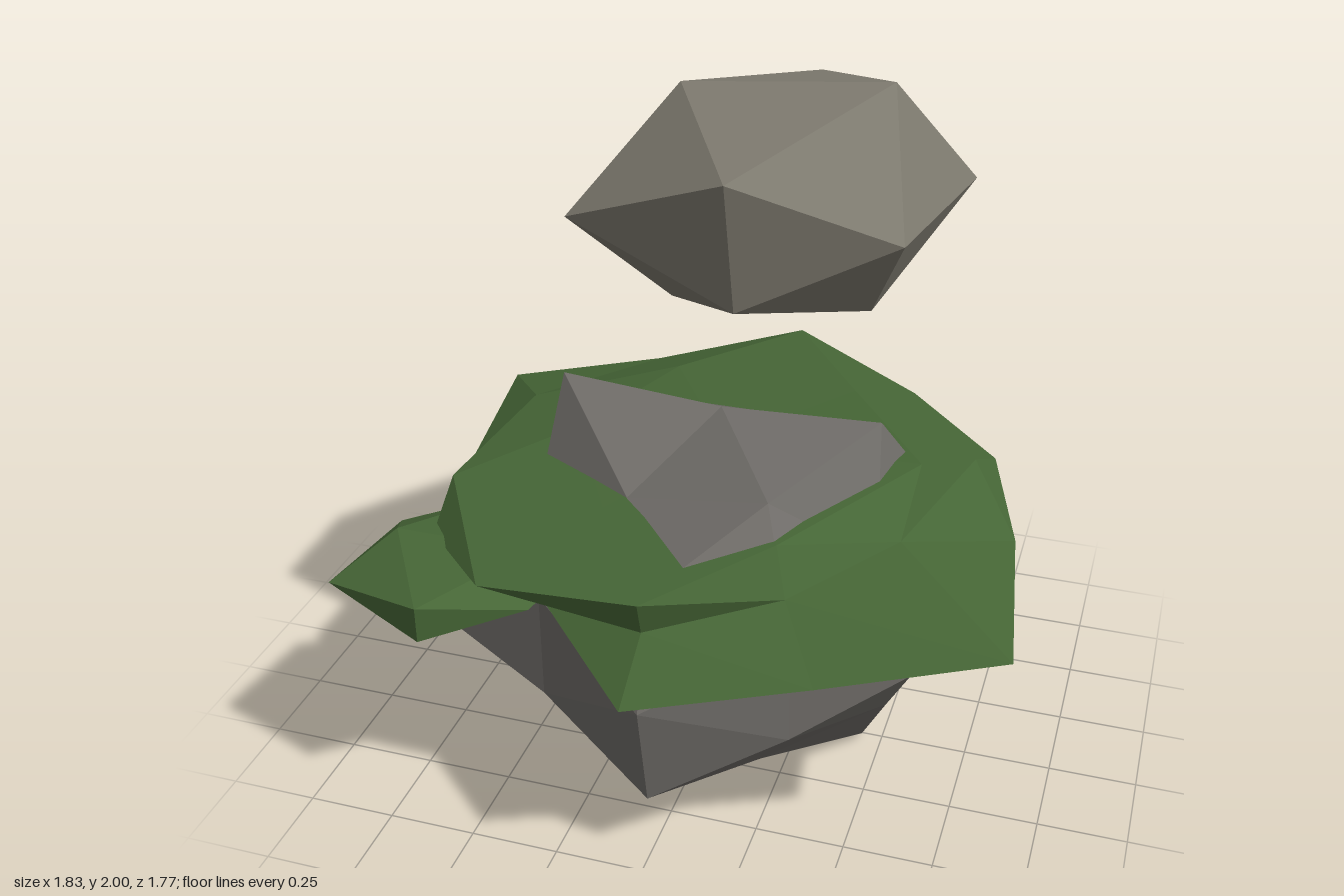
import * as THREE from 'three';

const stone = new THREE.MeshStandardMaterial({ color: 0x716e6a, flatShading: true });
const paleStone = new THREE.MeshStandardMaterial({ color: 0x807c71, flatShading: true });
const moss = new THREE.MeshStandardMaterial({ color: 0x466636, flatShading: true });

// Components of an icosahedron corner direction
const A = 0.526, B = 0.851;

// Lumpy low-poly stone: each icosahedron point is pushed in or out along its direction.
// dents lists [x, y, z, factor]; other corners keep 1, other edge midpoints use 0.8.
function lump(name, material, detail, centre, size, dents) {
  const geometry = new THREE.IcosahedronGeometry(1, detail);
  const pos = geometry.attributes.position;
  const p = new THREE.Vector3(), d = new THREE.Vector3();
  const scale = new THREE.Vector3(...size);
  for (let i = 0; i < pos.count; i++) {
    p.fromBufferAttribute(pos, i).normalize();
    const [low, , high] = [p.x, p.y, p.z].map(Math.abs).sort((a, b) => a - b);
    const corner = low < 0.01 && Math.abs(high - B) < 0.01;
    const dent = dents.find(([x, y, z]) => d.set(x, y, z).normalize().dot(p) > 0.99);
    const factor = dent ? dent[3] : corner ? 1 : 0.8;
    p.multiply(scale).multiplyScalar(factor);
    pos.setXYZ(i, p.x, p.y, p.z);
  }
  geometry.computeVertexNormals();
  const mesh = new THREE.Mesh(geometry, material);
  mesh.name = name;
  mesh.position.set(...centre);
  return mesh;
}

export function createModel() {
  const model = new THREE.Group();
  model.name = 'mossyRocks';

  // Large base stone
  model.add(lump('boulder', stone, 1, [0.005, 0.54, 0.03], [0.87, 0.64, 0.82], [
    [B, 0, A, 0.86], [0, -A, -B, 0.86], [0, A, B, 0.88], [0, A, -B, 0.85],
    [0, -A, B, 0.97], [A, -B, 0, 0.96], [A, B, 0, 0.99], [-A, B, 0, 1.02],
    [0, 0, 1, 0.9], [0, 0, -1, 0.95], [0, -1, 0, 0.74], [0, 1, 0, 0.81], [1, 0, 0, 0.75],
    [0.309, 0.809, 0.5, 0.88], [0.309, 0.809, -0.5, 0.7],
    [-0.309, 0.809, 0.5, 0.68], [-0.309, 0.809, -0.5, 0.7],
    [0.809, 0.5, 0.309, 0.7], [-0.809, 0.5, 0.309, 0.7], [-0.809, 0.5, -0.309, 0.74],
    [0.809, -0.5, 0.309, 0.77], [0.809, -0.5, -0.309, 0.86],
    [0.309, -0.809, -0.5, 0.74], [-0.309, -0.809, -0.5, 0.74],
  ]));

  // Flattened moss sheet draped around the boulder
  model.add(lump('mossSheet', moss, 1, [0, 0.755, 0], [1.05, 0.225, 1.04], [
    [B, 0, A, 1.03], [-B, 0, -A, 0.965], [B, 0, -A, 0.8], [-B, 0, A, 0.79],
    [0, A, B, 0.83], [0, -A, -B, 0.75], [A, B, 0, 1.03], [-A, B, 0, 0.8],
    [A, -B, 0, 0.6], [-A, -B, 0, 0.7],
    [-1, 0, 0, 0.74], [0, 0, 1, 0.68], [0, 0, -1, 0.65],
    [0.5, 0.309, 0.809, 0.62], [-0.5, 0.309, 0.809, 0.85],
    [0.5, -0.309, 0.809, 0.87], [-0.5, -0.309, 0.809, 0.66],
    [-0.5, -0.309, -0.809, 0.86],
    [0.809, 0.5, 0.309, 0.66], [-0.809, 0.5, 0.309, 0.84],
    [0.809, -0.5, 0.309, 0.62], [0.809, -0.5, -0.309, 0.62],
    [0.309, 0.809, 0.5, 0.87], [-0.309, 0.809, 0.5, 0.7],
    [0.309, 0.809, -0.5, 0.86], [-0.309, 0.809, -0.5, 0.86],
    [0.309, -0.809, 0.5, 0.65], [-0.309, -0.809, 0.5, 0.6],
  ]));

  // Small moss clump at the front corner
  model.add(lump('mossClump', moss, 0, [-0.6, 0.695, 0.47], [0.37, 0.098, 0.355], [
    [-B, 0, -A, 0.85], [B, 0, A, 0.8],
  ]));

  // Separate stone floating above
  model.add(lump('upperStone', paleStone, 0, [0.13, 1.66, -0.055], [0.565, 0.385, 0.56], [
    [A, B, 0, 1.03], [-A, B, 0, 0.88], [-A, -B, 0, 0.99], [A, -B, 0, 0.9],
    [0, -A, B, 0.82], [0, -A, -B, 1.06], [B, 0, A, 0.82], [-B, 0, -A, 0.8],
  ]));

  return model;
}
